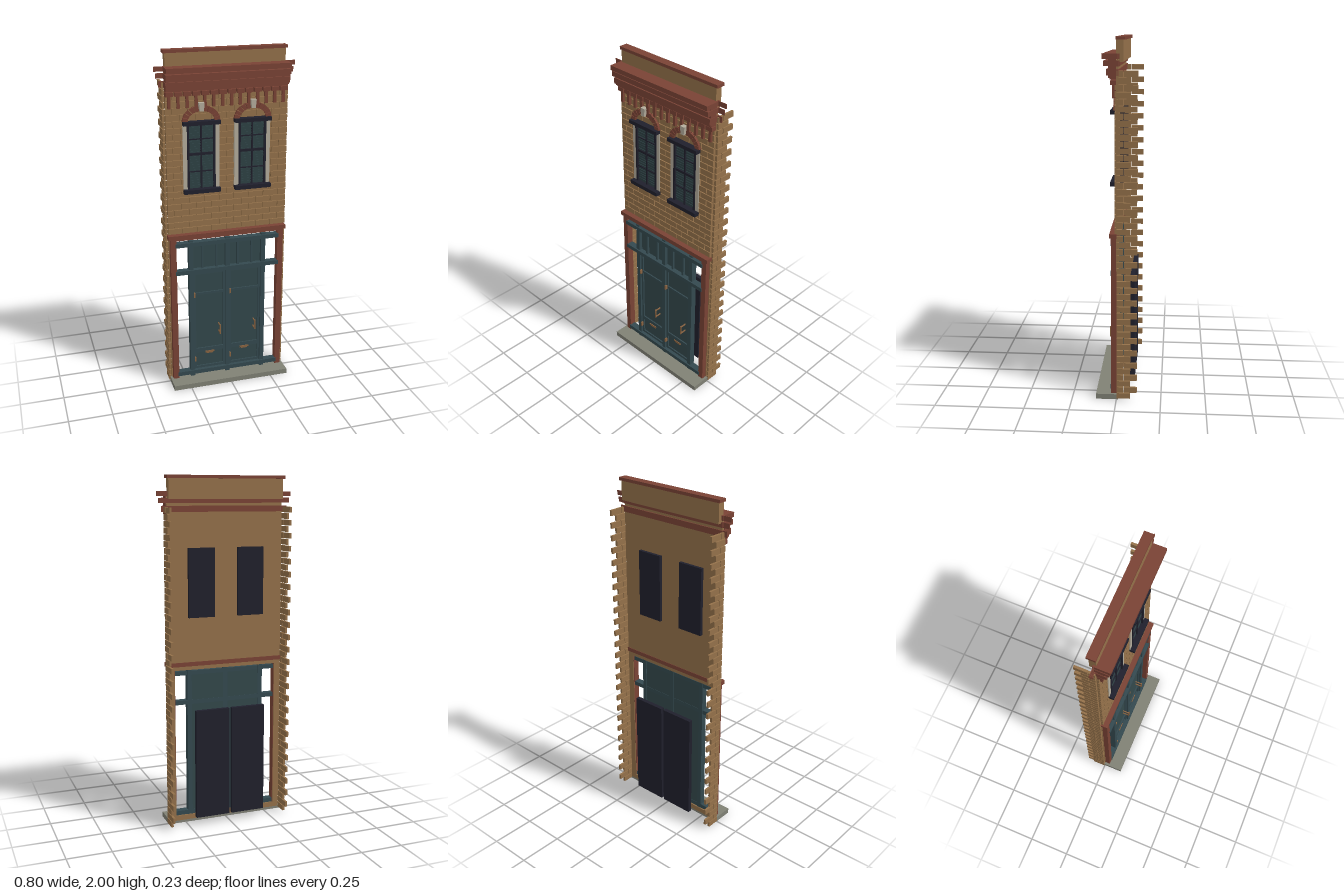
import * as THREE from 'three';
import { mergeGeometries } from 'three/addons/utils/BufferGeometryUtils.js';

const mat = (name, color) => {
  const m = new THREE.MeshStandardMaterial({ color });
  m.name = name;
  return m;
};

// box geometry from its limits
function span(x0, x1, y0, y1, z0, z1) {
  return new THREE.BoxGeometry(x1 - x0, y1 - y0, z1 - z0)
    .translate((x0 + x1) / 2, (y0 + y1) / 2, (z0 + z1) / 2);
}

export function createModel() {
  const brick = mat('tan brick', 0x94714a);
  const red = mat('red brick', 0x7a4335);
  const teal = mat('teal paint', 0x34494f);
  const panelTeal = mat('teal panel', 0x33484b);
  const navy = mat('dark navy', 0x20202c);
  const glass = mat('dark glass', 0x2e4144);
  const stone = mat('grey stone', 0x808175);
  const pale = mat('pale stone', 0xb4ad9d);
  const copper = mat('copper', 0x8a6442);

  const root = new THREE.Group();
  root.name = 'shopfront';
  const add = (name, material, geos, parent = root) => {
    const mesh = new THREE.Mesh(Array.isArray(geos) ? mergeGeometries(geos) : geos, material);
    mesh.name = name;
    parent.add(mesh);
    return mesh;
  };
  const windows = [-0.148, 0.148];

  // step and back of the wall
  add('step', stone, span(-0.355, 0.355, 0, 0.03, -0.01, 0.115));
  add('wall', brick, span(-0.345, 0.345, 0.95, 1.885, -0.012, 0));
  add('plinth', brick, span(-0.345, 0.345, 0.015, 0.045, -0.012, 0));
  add('openingHead', brick, span(-0.345, 0.345, 0.915, 0.936, -0.012, 0.002));
  add('openingSides', brick, [-1, 1].map(s =>
    span(s * 0.327 - 0.018, s * 0.327 + 0.018, 0.03, 0.936, -0.012, 0)));

  // running-bond brick face, cut around the window openings
  const pitch = 0.0365, faceBricks = [];
  for (let row = 0; row < 22; row++) {
    const y0 = 0.962 + row * pitch, y1 = y0 + pitch - 0.005;
    const cut = y1 > 1.205 && y0 < 1.61 ? 0.105 : 0;
    for (let i = -5; i < 5; i++) {
      const start = i * 0.088 + (row % 2) * 0.044;
      let pieces = [[Math.max(start, -0.345), Math.min(start + 0.083, 0.345)]];
      if (cut) for (const w of windows) {
        pieces = pieces.flatMap(([a, b]) => [[a, Math.min(b, w - cut)], [Math.max(a, w + cut), b]]);
      }
      for (const [a, b] of pieces) if (b - a > 0.006) faceBricks.push(span(a, b, y0, y1, 0, 0.009));
    }
  }
  add('faceBricks', brick, faceBricks);

  // toothed side returns
  for (const s of [-1, 1]) {
    const geos = [];
    for (let row = 0; row < 50; row++) {
      const y0 = 0.008 + row * pitch, y1 = y0 + 0.0315, x = s * 0.3535;
      const put = (z0, z1) => geos.push(span(x - 0.0065, x + 0.0065, y0, y1, z0, z1));
      if (row % 2) {
        put(-0.115, -0.042);
        put(-0.038, -0.003);
      } else put(-0.078, -0.003);
    }
    add(s > 0 ? 'leftReturn' : 'rightReturn', brick, geos);
  }

  // parapet
  add('parapet', brick, span(-0.34, 0.34, 1.872, 1.984, -0.038, 0));
  add('parapetCap', red, span(-0.35, 0.35, 1.983, 2, -0.047, 0.003));

  // stepped cornice: y0, y1, depth, half width of the thin back plate
  const cornice = [];
  for (const [y0, y1, z, w] of [[1.887, 1.913, 0.075, 0.4], [1.85, 1.878, 0.066, 0.39],
    [1.802, 1.835, 0.052, 0.375]]) {
    cornice.push(span(-0.35, 0.35, y0, y1, -0.018, z), span(-w, w, y0, y1, -0.013, -0.009));
  }
  cornice.push(span(-0.347, 0.347, 1.79, 1.9, 0, 0.042));
  add('cornice', red, cornice);

  // corbel table under the cornice
  const corbels = [span(-0.346, 0.346, 1.782, 1.803, 0, 0.034)];
  for (let i = 0; i < 14; i++) {
    const x = -0.325 + i * 0.05;
    corbels.push(span(x - 0.021, x + 0.021, 1.755, 1.778, 0, 0.03));
    corbels.push(span(x - 0.008, x + 0.008, 1.688, 1.757, 0, 0.022));
  }
  add('corbels', red, corbels);

  // arched windows
  windows.forEach((x, n) => {
    const g = new THREE.Group();
    g.name = n ? 'leftWindow' : 'rightWindow';
    g.position.x = x;
    root.add(g);
    add('glass', glass, span(-0.08, 0.08, 1.22, 1.6, 0, 0.004), g);
    add('backPanel', navy, span(-0.078, 0.078, 1.215, 1.605, -0.03, -0.011), g);
    const slats = [];
    for (let i = 0; i < 24; i++) {
      const y = 1.235 + i * 0.015;
      slats.push(span(-0.07, 0.07, y, y + 0.009, 0.004, 0.007));
    }
    add('blind', glass, slats, g);
    const bars = [span(-0.004, 0.004, 1.225, 1.595, 0.003, 0.014)];
    for (const s of [-1, 1]) bars.push(span(s * 0.075 - 0.006, s * 0.075 + 0.006, 1.22, 1.6, 0, 0.017));
    for (const y of [1.325, 1.425, 1.51]) {
      const h = y === 1.425 ? 0.007 : 0.003;
      bars.push(span(-0.072, 0.072, y - h, y + h, 0.003, 0.013));
    }
    add('sash', navy, bars, g);
    add('jambs', pale, [-1, 1].map(s =>
      span(s * 0.093 - 0.012, s * 0.093 + 0.012, 1.225, 1.595, 0, 0.013)), g);
    add('lintel', navy, span(-0.106, 0.106, 1.592, 1.613, 0, 0.04), g);
    add('sill', navy, span(-0.106, 0.106, 1.203, 1.226, 0, 0.04), g);

    // ring of wedge-shaped arch bricks
    const wedges = [], count = 11;
    for (let i = 0; i < count; i++) {
      const a = Math.PI * (i + 0.06) / count, b = Math.PI * (i + 0.94) / count;
      const at = (t, rx, ry) => new THREE.Vector2(rx * Math.cos(t), 1.612 + ry * Math.sin(t));
      const shape = new THREE.Shape([at(a, 0.076, 0.055), at(a, 0.108, 0.086),
        at(b, 0.108, 0.086), at(b, 0.076, 0.055)]);
      wedges.push(new THREE.ExtrudeGeometry(shape, { depth: 0.022, bevelEnabled: false }));
    }
    add('arch', red, wedges, g);
    const key = new THREE.Shape([[-0.011, 1.668], [0.011, 1.668], [0.016, 1.715], [-0.016, 1.715]]
      .map(p => new THREE.Vector2(...p)));
    add('keystone', pale, new THREE.ExtrudeGeometry(key, { depth: 0.036, bevelEnabled: false }), g);
  });

  // red surround of the shop opening
  add('shopLintel', red, [span(-0.352, 0.352, 0.936, 0.96, -0.015, 0.038),
    span(-0.34, 0.34, 0.925, 0.937, 0, 0.03)]);
  add('pilasters', red, [-1, 1].map(s =>
    span(s * 0.323 - 0.017, s * 0.323 + 0.017, 0.03, 0.936, -0.008, 0.03)));

  // teal frame: rails, posts and transom bars
  add('rails', teal, [[0.884, 0.908], [0.712, 0.736], [0.045, 0.07]].map(([a, b]) =>
    span(-0.312, 0.312, a, b, -0.005, 0.035)));
  add('posts', teal, [-0.219, 0, 0.219].map(x =>
    span(x - 0.013, x + 0.013, 0.03, 0.918, -0.008, 0.027)));
  add('transomBars', teal, [-0.15, -0.065, 0.065, 0.15].map(x =>
    span(x - 0.006, x + 0.006, 0.73, 0.89, 0, 0.02)));
  add('transomPanels', panelTeal, [-0.109, 0.109].map(x =>
    span(x - 0.098, x + 0.098, 0.734, 0.886, -0.003, 0.005)));

  // pair of doors with dark backing boards
  [-0.109, 0.109].forEach((x, n) => {
    const g = new THREE.Group();
    g.name = n ? 'leftDoor' : 'rightDoor';
    g.position.x = x;
    root.add(g);
    add('doorPanel', panelTeal, span(-0.098, 0.098, 0.05, 0.712, -0.003, 0.006), g);
    const frame = [[0.695, 0.712], [0.563, 0.577], [0.178, 0.205], [0.07, 0.085]].map(([a, b]) =>
      span(-0.096, 0.096, a, b, 0, 0.014));
    for (const s of [-1, 1]) frame.push(span(s * 0.091 - 0.007, s * 0.091 + 0.007, 0.07, 0.71, 0, 0.015));
    add('doorFrame', teal, frame, g);
    add('handle', copper, [span(0.054, 0.062, 0.302, 0.362, 0.042, 0.05),
      span(0.055, 0.061, 0.304, 0.311, 0.005, 0.045),
      span(0.055, 0.061, 0.353, 0.36, 0.005, 0.045)], g);
    add('letterSlot', copper, [span(-0.028, 0.028, 0.172, 0.182, 0.012, 0.018),
      span(-0.02, 0.02, 0.165, 0.173, 0.004, 0.016)], g);
    add('hinges', copper, [0.14, 0.57].map(y =>
      span(-0.097, -0.089, y - 0.014, y + 0.014, 0.01, 0.03)), g);
    add('backingBoard', navy, span(-0.101, 0.101, 0.05, 0.69, -0.094, -0.07), g);
  });

  return root;
}
